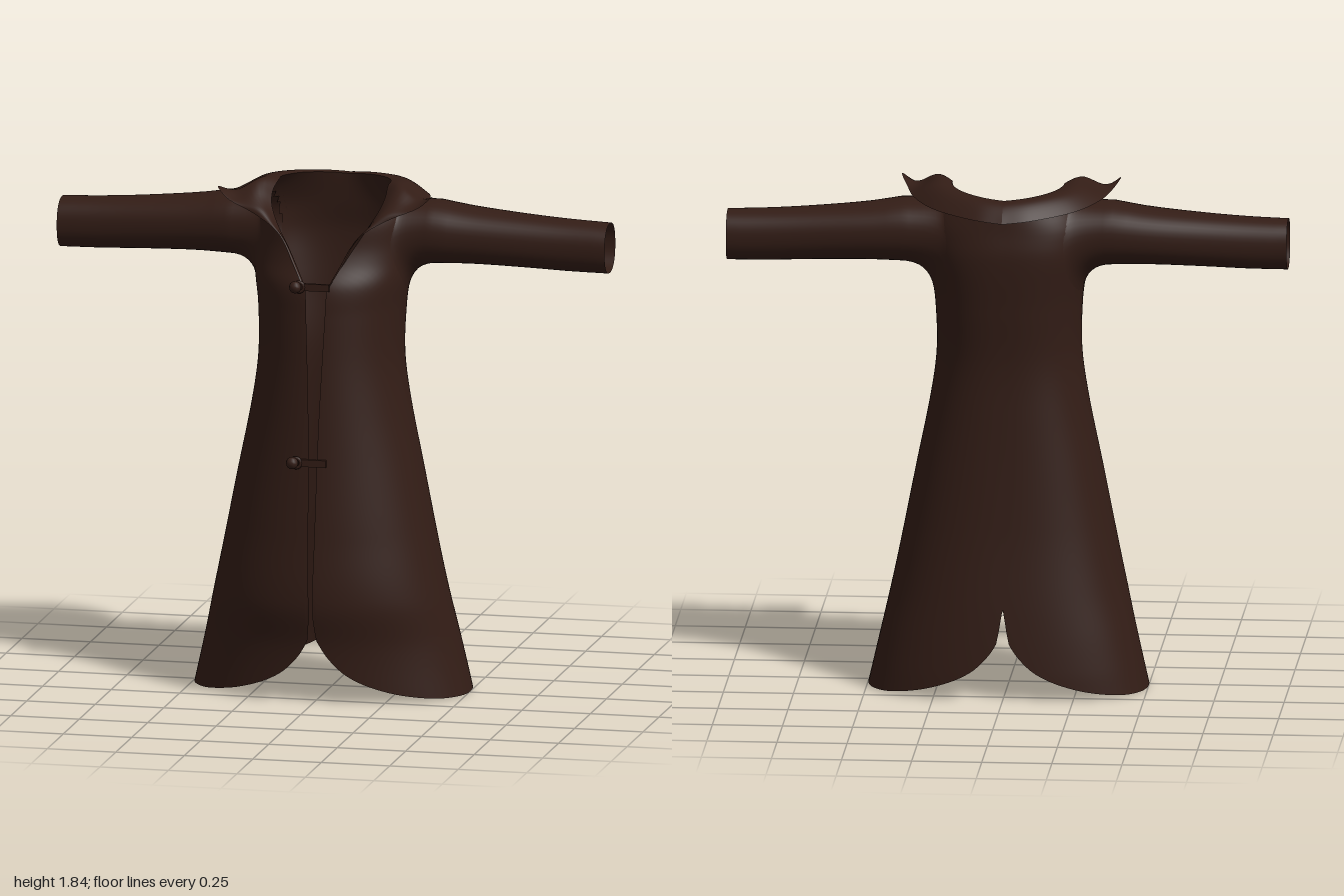
import * as THREE from 'three';

const material = new THREE.MeshStandardMaterial({ color: 0x331d16, side: THREE.DoubleSide });

// Smooth curve through [position, value] pairs
function profile(pts) {
  const slope = (i) => {
    const a = pts[Math.max(i - 1, 0)], b = pts[Math.min(i + 1, pts.length - 1)];
    return (b[1] - a[1]) / (b[0] - a[0]);
  };
  return (x) => {
    let i = 0;
    while (i < pts.length - 2 && x > pts[i + 1][0]) i++;
    const [x0, a] = pts[i], [x1, b] = pts[i + 1], h = x1 - x0;
    const t = THREE.MathUtils.clamp((x - x0) / h, 0, 1);
    return a + (b - a) * t * t * (3 - 2 * t) +
      h * t * (1 - t) * (slope(i) * (1 - t) - slope(i + 1) * t);
  };
}

// Grid surface from a function of (u, v); faces whose centre fails keep() are left out
function surface(name, nu, nv, point, keep = () => true) {
  const pos = [], index = [], grid = [];
  for (let j = 0; j <= nv; j++) for (let i = 0; i <= nu; i++) {
    const p = point(i / nu, j / nv);
    grid.push(p);
    pos.push(p.x, p.y, p.z);
  }
  for (let j = 0; j < nv; j++) for (let i = 0; i < nu; i++) {
    const a = j * (nu + 1) + i, b = a + 1, c = a + nu + 1, d = c + 1;
    const centre = grid[a].clone().add(grid[d]).multiplyScalar(0.5);
    if (keep(centre)) index.push(a, b, c, b, d, c);
  }
  const g = new THREE.BufferGeometry();
  g.setAttribute('position', new THREE.Float32BufferAttribute(pos, 3));
  g.setIndex(index);
  g.computeVertexNormals();
  const mesh = new THREE.Mesh(g, material);
  mesh.name = name;
  return mesh;
}

// Coat body by height: half width, front depth, back depth, half gap of the opening
const width = profile([[0, 0.5], [0.4, 0.41], [0.8, 0.33], [1.05, 0.28], [1.22, 0.258], [1.4, 0.262],
  [1.5, 0.275], [1.6, 0.285], [1.7, 0.283], [1.76, 0.265], [1.8, 0.235], [1.83, 0.2]]);
const front = profile([[0, 0.31], [0.2, 0.32], [0.36, 0.35], [0.6, 0.335], [0.88, 0.31], [1.2, 0.285],
  [1.4, 0.27], [1.5, 0.258], [1.57, 0.222], [1.63, 0.203], [1.72, 0.193], [1.78, 0.17], [1.83, 0.14]]);
const back = profile([[0, -0.32], [0.1, -0.318], [0.3, -0.302], [0.6, -0.27], [1, -0.242], [1.2, -0.235],
  [1.4, -0.25], [1.6, -0.264], [1.7, -0.252], [1.83, -0.238]]);
const gap = profile([[0, 0.01], [0.3, 0.006], [0.6, 0.011], [1, 0.018], [1.45, 0.036], [1.83, 0.05]]);
// Neckline height from the front opening (0) round to the back (1)
const neckline = profile([[0, 1.5], [0.05, 1.57], [0.1, 1.64], [0.18, 1.73], [0.28, 1.795],
  [0.4, 1.828], [0.6, 1.828], [1, 1.812]]);
const hemLine = profile([[0, 0.25], [0.1, 0.17], [0.25, 0.1], [0.5, 0.045], [0.8, 0.01], [1, 0]]);

// The back is squarish below and comes to a soft point at the neck
const backPower = (y) => 0.8 + 0.35 * THREE.MathUtils.smoothstep(y, 1.68, 1.83);

function bodyPoint(u, y, side) {
  const w = width(y), zf = front(y), zb = back(y), start = Math.asin(gap(y) / w);
  const a = start + (Math.PI - start) * u, c = Math.cos(a);
  const e = c < 0 ? backPower(y) : 1;
  const x = w * Math.pow(Math.max(Math.sin(a), 0), e);
  const z = (zf + zb) / 2 + (zf - zb) / 2 * Math.sign(c) * Math.pow(Math.abs(c), e);
  return new THREE.Vector3(side * x, y, z);
}

// Half width of the body at a given height and depth
function bodyX(y, z) {
  const zf = front(y), zb = back(y);
  const c = THREE.MathUtils.clamp((2 * z - zf - zb) / (zf - zb), -1, 1);
  const e = c < 0 ? backPower(y) : 1;
  const cos = Math.pow(Math.abs(c), 1 / e);
  return width(y) * Math.pow(1 - cos * cos, e / 2);
}

// Rounded hem that rises to a narrow slit at the front and the back
function hem(u) {
  const s = Math.max(Math.sin(Math.PI * u), 0);
  return hemLine(u > 0.5 ? Math.pow(s, 0.8) : s) + 0.08 * Math.max(0, 1 - s / 0.02);
}

// Armhole: centre and half size in height and depth
const hole = { y: 1.62, z: -0.055, h: 0.172, d: 0.158 };

function bodyHalf(side) {
  const outsideArmhole = (p) => Math.hypot((p.y - hole.y) / hole.h, (p.z - hole.z) / hole.d) > 0.88;
  return surface('coatBody', 72, 80, (i, v) => {
    const u = (1 - Math.cos(Math.PI * i)) / 2;
    return bodyPoint(u, THREE.MathUtils.lerp(hem(u), neckline(u), v), side);
  }, outsideArmhole);
}

// Sleeve sections by distance from the centre
const sleeveTop = profile([[0.38, 1.774], [0.5, 1.755], [0.7, 1.736], [0.85, 1.726], [1, 1.72]]);
const sleeveBottom = profile([[0.38, 1.55], [0.5, 1.553], [0.7, 1.548], [0.85, 1.542], [1, 1.54]]);
const sleeveFront = profile([[0.38, 0.075], [0.5, 0.06], [0.7, 0.042], [0.85, 0.033], [1, 0.03]]);
const sleeveBack = profile([[0.38, -0.183], [0.5, -0.175], [0.7, -0.157], [0.85, -0.147], [1, -0.14]]);

// Sleeve: flares out of the body around the armhole, then runs to an open cuff
function sleeve(side) {
  const round = (t) => Math.sign(t) * Math.pow(Math.abs(t), 0.87);
  const flare = 0.4, flareEnd = 0.38;
  return surface('sleeve', 40, 20, (u, v) => {
    const a = (u - 0.25) * Math.PI * 2, s = round(Math.sin(a)), c = round(Math.cos(a));
    const x = flareEnd + (1 - flareEnd) * Math.max(0, (v - flare) / (1 - flare));
    const top = sleeveTop(x), bottom = sleeveBottom(x), zf = sleeveFront(x), zb = sleeveBack(x);
    const end = new THREE.Vector3(x, (top + bottom) / 2 + (top - bottom) / 2 * s,
      (zf + zb) / 2 + (zf - zb) / 2 * c);
    if (v < flare) {
      const y = hole.y + hole.h * Math.sin(a), z = hole.z + hole.d * Math.cos(a);
      const curve = new THREE.QuadraticBezierCurve3(new THREE.Vector3(bodyX(y, z), y, z),
        new THREE.Vector3(bodyX(end.y, end.z) + 0.004, end.y, end.z), end.clone());
      curve.getPoint(v / flare, end);
    }
    end.x *= side;
    return end;
  });
}

// Collar and lapel: outer edge from the back point, past the wing tip, to the top clasp
const collarEdge = new THREE.CatmullRomCurve3([
  [0, 1.75, -0.345], [0.1, 1.758, -0.322], [0.25, 1.772, -0.225], [0.33, 1.785, -0.1], [0.365, 1.795, 0.03],
  [0.39, 1.822, 0.12], [0.35, 1.787, 0.148], [0.24, 1.74, 0.178], [0.145, 1.68, 0.214],
  [0.09, 1.58, 0.24], [0.045, 1.5, 0.268]].map((p) => new THREE.Vector3(...p)));

function collar(side) {
  return surface('collar', 72, 12, (t, v) => {
    const u = Math.pow(1 - t, 1.6);
    const outer = collarEdge.getPoint(t);
    outer.x *= side;
    const p = bodyPoint(u, neckline(u), side).lerp(outer, v);
    // Rolls over at the neck, drapes at the back and dips before the wing tip
    const wing = Math.exp(-Math.pow((t - 0.5) / 0.12, 2));
    const roll = Math.min(1, 3 * (1 - t)) * Math.sin(Math.PI * v);
    p.y += 0.024 * roll * (1 - wing) + 0.02 * wing * Math.sin(2 * Math.PI * v);
    p.z += t > 0.5 ? 0.014 * roll * (1 - wing) : 0;
    return p;
  });
}

// Clasp: strap across the opening, loop and button
function clasp(y, z) {
  const group = new THREE.Group();
  group.name = 'clasp';
  const add = (name, geometry, x, dz) => {
    const m = new THREE.Mesh(geometry, material);
    m.name = name;
    m.position.set(x, 0, dz);
    group.add(m);
  };
  add('strap', new THREE.BoxGeometry(0.1, 0.026, 0.012), 0, 0);
  add('loop', new THREE.TorusGeometry(0.018, 0.006, 8, 16), -0.06, 0.003);
  add('button', new THREE.SphereGeometry(0.022, 12, 8), -0.072, 0.01);
  group.position.set(0, y, z);
  return group;
}

export function createModel() {
  const coat = new THREE.Group();
  coat.name = 'coat';
  for (const side of [1, -1]) coat.add(bodyHalf(side), sleeve(side), collar(side));
  coat.add(clasp(1.505, 0.267), clasp(0.875, 0.315));
  return coat;
}
